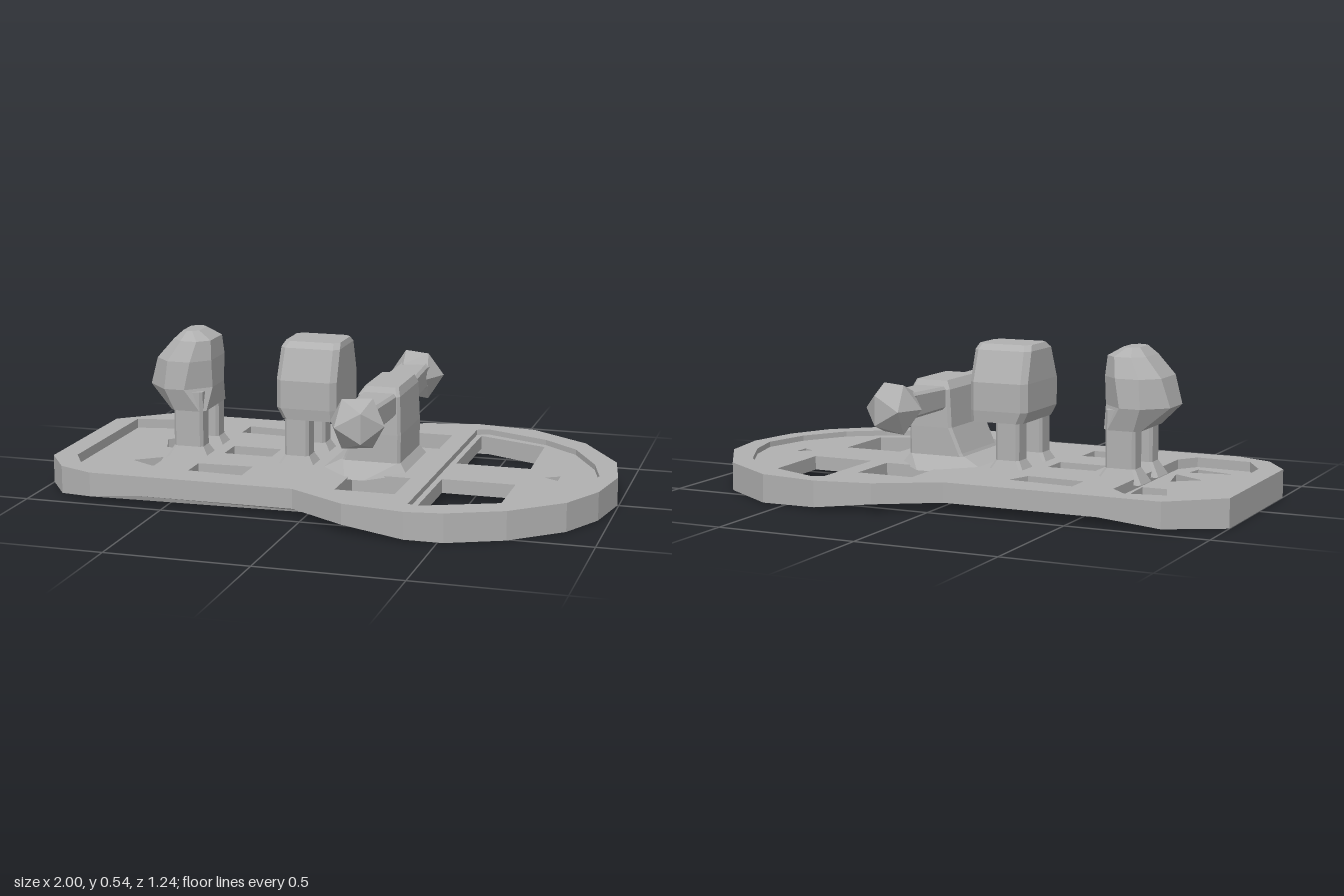
import * as THREE from 'three';

const grey = new THREE.MeshStandardMaterial({ color: 0xb0b0b0 });
grey.name = 'plain grey';
grey.flatShading = true;

function add(parent, name, geometry) {
  const mesh = new THREE.Mesh(geometry, grey);
  mesh.name = name;
  parent.add(mesh);
  return mesh;
}

// Horizontal slab from an [x, z] outline with holes
function slab(outline, holes, y0, y1) {
  // Reversed to run anticlockwise, so that all hole walls face inwards
  const toPoints = (list) => list.map(([x, z]) => new THREE.Vector2(x, -z)).reverse();
  const shape = new THREE.Shape(toPoints(outline));
  for (const hole of holes) shape.holes.push(new THREE.Path(toPoints(hole)));
  const g = new THREE.ExtrudeGeometry(shape, { depth: y1 - y0, bevelEnabled: false });
  return g.rotateX(-Math.PI / 2).translate(0, y0, 0);
}

// Stacked chamfered rectangles: each ring is [y, x0, x1, z0, z1, chamfer]
function loft(rings) {
  const pos = [], idx = [], n = 8;
  for (const [y, x0, x1, z0, z1, c] of rings) {
    for (const [x, z] of [[x1, z1 - c], [x1, z0 + c], [x1 - c, z0], [x0 + c, z0],
      [x0, z0 + c], [x0, z1 - c], [x0 + c, z1], [x1 - c, z1]]) pos.push(x, y, z);
  }
  for (let r = 0; r < rings.length - 1; r++) {
    for (let i = 0; i < n; i++) {
      const a = r * n + i, b = r * n + (i + 1) % n;
      idx.push(a, b, b + n, a, b + n, a + n);
    }
  }
  const top = (rings.length - 1) * n;
  for (let i = 1; i < n - 1; i++) idx.push(top, top + i, top + i + 1, 0, i + 1, i);
  const g = new THREE.BufferGeometry();
  g.setAttribute('position', new THREE.Float32BufferAttribute(pos, 3));
  g.setIndex(idx);
  const flat = g.toNonIndexed();
  flat.computeVertexNormals();
  return flat;
}

const rect = (x0, x1, z0, z1) => [[x0, z0], [x1, z0], [x1, z1], [x0, z1]];

function createBase() {
  const base = new THREE.Group();
  base.name = 'base';
  const outline = [[-1, -0.31], [-0.82, -0.46], [-0.6, -0.46], [-0.04, -0.46], [0.17, -0.58],
    [0.37, -0.62], [0.59, -0.59], [0.81, -0.44], [0.96, -0.2], [0.995, 0], [0.96, 0.2],
    [0.88, 0.36], [0.71, 0.51], [0.52, 0.595], [0.39, 0.615], [0.17, 0.58], [-0.04, 0.455],
    [-0.6, 0.455], [-0.78, 0.455], [-0.91, 0.4], [-1, 0.27]];
  const roundPan = [[0.38, -0.53], [0.42, -0.55], [0.66, -0.45], [0.79, -0.34], [0.89, -0.15],
    [0.93, 0], [0.89, 0.18], [0.79, 0.34], [0.66, 0.43], [0.42, 0.53], [0.38, 0.52]];
  const endPan = [[-0.92, -0.33], [-0.66, -0.38], [-0.6, -0.32], [-0.6, 0.3], [-0.65, 0.37],
    [-0.85, 0.36], [-0.92, 0.24]];
  const windows = [
    [[-0.46, -0.34], [-0.22, -0.32], [-0.25, -0.23], [-0.46, -0.24]],
    rect(-0.42, -0.24, -0.04, 0.07),
    [[-0.46, 0.23], [-0.26, 0.22], [-0.26, 0.34], [-0.46, 0.33]],
    rect(0.1, 0.31, -0.42, -0.21), rect(0.1, 0.31, 0.21, 0.42),
  ];
  const plate = slab(outline, [roundPan, endPan, ...windows], 0, 0.1);
  // Lift the underside between the two ends
  const p = plate.attributes.position;
  for (let i = 0; i < p.count; i++) {
    const x = p.getX(i);
    if (p.getY(i) < 0.05) {
      const lift = Math.min((x + 0.92) / 0.3, (0.45 - x) / 0.3, 1);
      p.setY(i, 0.03 * Math.max(0, lift));
    }
  }
  plate.computeVertexNormals();
  add(base, 'plate', plate);

  // Sunken floors inside the two rims
  add(base, 'roundFloor', slab(roundPan, [
    [[0.4, -0.52], [0.66, -0.42], [0.67, -0.1], [0.4, -0.1]],
    [[0.4, 0.12], [0.66, 0.12], [0.66, 0.38], [0.4, 0.49]],
    [[0.74, 0], [0.79, -0.03], [0.79, 0.03]],
  ], 0.03, 0.08));
  add(base, 'endFloor', slab(endPan, [
    [[-0.74, -0.19], [-0.62, -0.31], [-0.61, -0.08], [-0.7, -0.08]],
    [[-0.75, 0.13], [-0.66, 0.06], [-0.63, 0.2]],
    [[-0.82, 0.28], [-0.66, 0.25], [-0.67, 0.32]],
  ], 0.03, 0.065));
  return base;
}

// Two legs carrying a faceted head
function createSeat(name, legX0, legX1, inner, outer, headRings) {
  const seat = new THREE.Group();
  seat.name = name;
  for (const s of [-1, 1]) {
    const za = Math.min(s * inner, s * outer), zb = Math.max(s * inner, s * outer);
    add(seat, 'leg', loft([
      [0.08, legX0 - 0.03, legX1 + 0.03, za - 0.02, zb + 0.02, 0.01],
      [0.13, legX0, legX1, za, zb, 0.01],
      [0.33, legX0, legX1, za, zb, 0.01],
    ]));
  }
  add(seat, 'head', loft(headRings.map(([y, x0, x1, hz, c]) => [y, x0, x1, -hz, hz, c])));
  return seat;
}

function createConsole() {
  const group = new THREE.Group();
  group.name = 'console';
  add(group, 'block', loft([
    [0.09, 0.02, 0.255, -0.145, 0.145, 0.01],
    [0.14, 0.05, 0.255, -0.145, 0.145, 0.01],
    [0.23, 0.09, 0.255, -0.145, 0.145, 0.01],
    [0.365, 0.1, 0.25, -0.14, 0.14, 0.01],
    [0.395, 0.12, 0.24, -0.12, 0.12, 0.01],
  ]));
  add(group, 'skirt', loft([
    [0.095, -0.03, 0.28, -0.27, 0.27, 0.12],
    [0.13, 0.04, 0.255, -0.145, 0.145, 0.01],
  ]));
  for (const s of [-1, 1]) {
    // Arm lofted upright, then laid along z
    const arm = add(group, 'arm', loft([
      [0.1, 0.11, 0.24, -0.04, 0.04, 0.01],
      [0.34, 0.12, 0.23, -0.045, 0.045, 0.01],
      [0.4, 0.11, 0.24, -0.055, 0.055, 0.02],
    ]));
    arm.rotation.x = s * Math.PI / 2;
    arm.position.y = 0.335;
    const knob = add(group, 'knob', new THREE.IcosahedronGeometry(0.1, 0));
    knob.position.set(0.175, 0.33, s * 0.405);
    knob.rotation.y = s * 0.4;
  }
  return group;
}

export function createModel() {
  const model = new THREE.Group();
  model.name = 'figureStand';
  model.add(createBase());
  model.add(createSeat('rearSeat', -0.595, -0.485, 0.045, 0.12, [
    [0.26, -0.61, -0.475, 0.12, 0.02],
    [0.34, -0.7, -0.465, 0.14, 0.08],
    [0.44, -0.67, -0.465, 0.13, 0.06],
    [0.51, -0.61, -0.47, 0.1, 0.04],
    [0.54, -0.58, -0.52, 0.06, 0.02],
  ]));
  model.add(createSeat('frontSeat', -0.17, -0.08, 0.06, 0.14, [
    [0.26, -0.18, 0.02, 0.14, 0.02],
    [0.3, -0.2, 0.02, 0.145, 0.02],
    [0.4, -0.2, 0.02, 0.145, 0.02],
    [0.51, -0.195, 0.02, 0.105, 0.02],
    [0.53, -0.185, 0.015, 0.08, 0.02],
  ]));
  model.add(createConsole());
  return model;
}
